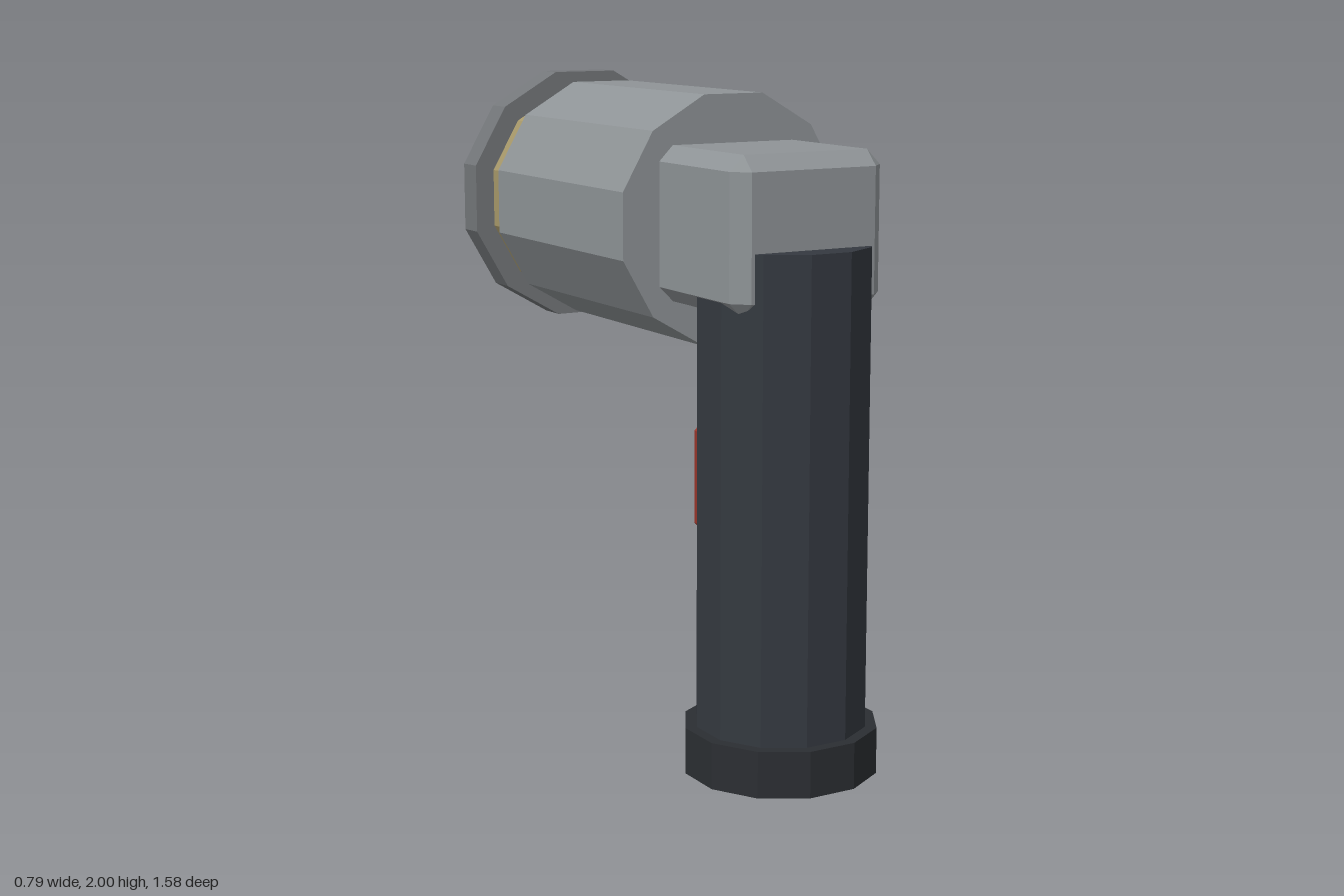
import * as THREE from 'three';
import { ConvexGeometry } from 'three/addons/geometries/ConvexGeometry.js';

const SIDES = 12;
const HANDLE_Z = 0.512; // axis of the upright handle
const HEAD_Y = 1.603; // axis of the horizontal head

const material = (color) => new THREE.MeshStandardMaterial({ color, flatShading: true });

// Twelve-sided drum, sized across its flats, with a flat facing each axis
function drum(flatRadius, length) {
  const r = flatRadius / Math.cos(Math.PI / SIDES);
  return new THREE.CylinderGeometry(r, r, length, SIDES).rotateY(Math.PI / SIDES);
}

// Box with every edge cut by a flat chamfer c
function chamferBox(w, h, d, c) {
  const points = [];
  for (const x of [-1, 1]) for (const y of [-1, 1]) for (const z of [-1, 1]) {
    for (let axis = 0; axis < 3; axis++) {
      const [a, b, e] = [w, h, d].map((s, i) => s / 2 - (i === axis ? 0 : c));
      points.push(new THREE.Vector3(x * a, y * b, z * e));
    }
  }
  return new ConvexGeometry(points);
}

export function createModel() {
  const model = new THREE.Group();
  const dark = material(0x343940);
  const black = material(0x2b2e32);
  const grey = material(0x8f9497);
  const steel = material(0x74777a);
  const brass = material(0xa8996a);
  const red = material(0x98342a);

  const add = (name, geometry, mat, x, y, z) => {
    const mesh = new THREE.Mesh(geometry, mat);
    mesh.name = name;
    mesh.position.set(x, y, z);
    model.add(mesh);
  };
  const upright = (name, mat, r, y0, y1) =>
    add(name, drum(r, y1 - y0), mat, 0, (y0 + y1) / 2, HANDLE_Z);
  const lying = (name, mat, r, z0, z1) =>
    add(name, drum(r, z1 - z0).rotateX(Math.PI / 2), mat, 0, HEAD_Y, (z0 + z1) / 2);

  // Handle with its wider foot
  upright('handle', dark, 0.247, 0.01, 1.56);
  upright('endCap', black, 0.281, 0, 0.14);

  // Chamfered elbow joining handle and head
  add('elbow', chamferBox(0.5, 0.455, 0.57, 0.045), grey, 0, HEAD_Y, 0.385);

  // Head: barrel, brass collar and face plate
  lying('barrel', grey, 0.37, -0.59, 0.235);
  lying('collar', brass, 0.335, -0.71, -0.58);
  lying('facePlate', steel, 0.397, -0.79, -0.7);

  // Push button on the back of the handle
  add('button', chamferBox(0.21, 0.32, 0.12, 0.018), red, 0, 0.828, 0.23);

  return model;
}
